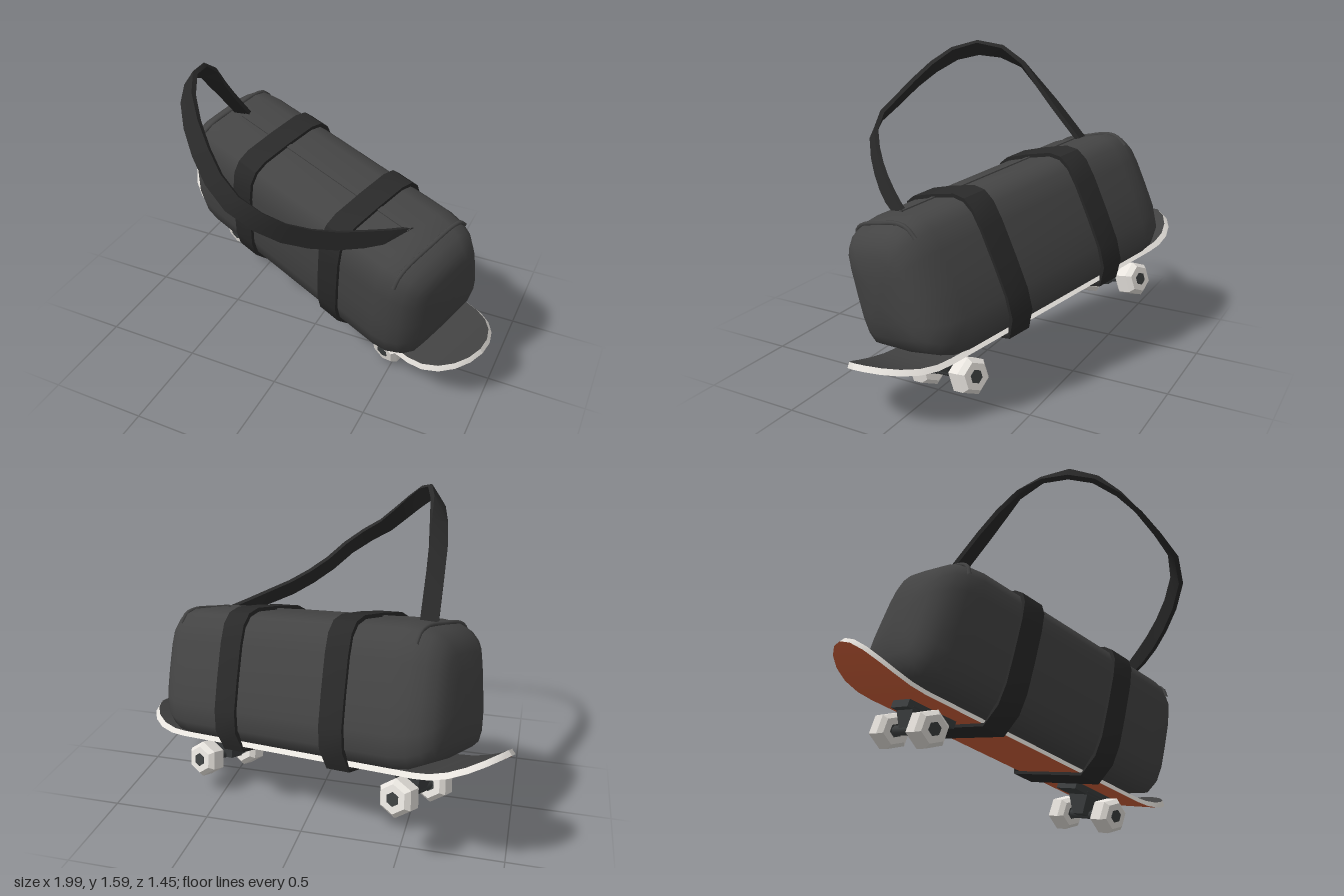
import * as THREE from 'three';
import { toCreasedNormals } from 'three/addons/utils/BufferGeometryUtils.js';

const V = (x, y, z) => new THREE.Vector3(x, y, z);
const mat = (name, color, side = THREE.FrontSide) => {
  const m = new THREE.MeshStandardMaterial({ color, side });
  m.name = name;
  return m;
};

// Skin a surface over a row of rings (arrays of Vector3)
function loft(rings, closed, crease = 0.6) {
  const n = rings[0].length, pos = [], idx = [];
  rings.forEach(r => r.forEach(p => pos.push(p.x, p.y, p.z)));
  for (let i = 0; i < rings.length - 1; i++) {
    for (let j = 0; j < (closed ? n : n - 1); j++) {
      const k = (j + 1) % n;
      const a = i * n + j, b = i * n + k, c = a + n, d = b + n;
      idx.push(a, b, c, b, d, c);
    }
  }
  const g = new THREE.BufferGeometry();
  g.setAttribute('position', new THREE.Float32BufferAttribute(pos, 3));
  g.setIndex(idx);
  g.computeVertexNormals();
  return toCreasedNormals(g, crease);
}

// Half section as [z, y] from top centre to bottom centre, mirrored to a full ring
const mirrorRing = half => [
  ...half, ...half.slice(1, -1).reverse().map(([z, y]) => [-z, y]),
];
const BAG_HALF = [[0, 0.94], [0.16, 0.936], [0.225, 0.912], [0.265, 0.86], [0.288, 0.77],
  [0.312, 0.6], [0.328, 0.45], [0.318, 0.35], [0.275, 0.29], [0, 0.276]];
const MID = 0.6;
const scaled = (half, s) => half.map(([z, y]) => [z * s, MID + (y - MID) * s]);
const at = (x, section) => section.map(([z, y]) => V(x, y, z));

export function createModel() {
  const model = new THREE.Group();
  model.name = 'bagOnSkateboard';
  const bagCloth = mat('bag cloth', 0x444444);
  const strapCloth = mat('strap webbing', 0x292929, THREE.DoubleSide);
  const grip = mat('grip tape', 0x414141);
  const pale = mat('pale wood and wheels', 0xf6f2ec);
  const rust = mat('rust underside', 0xd0603a);
  const metal = mat('truck metal', 0x3c3f40);

  // Tilted frame shared by the board and the bag
  const tilted = new THREE.Group();
  tilted.name = 'boardAndBag';
  const X = V(0.932, -0.149, 0.331).normalize();
  const Y = V(-0.359, -0.248, 0.9).cross(X).normalize();
  const Z = X.clone().cross(Y);
  tilted.setRotationFromMatrix(new THREE.Matrix4().makeBasis(X, Y, Z));
  tilted.position.set(-0.023, 0.093, -0.31);
  model.add(tilted);

  const add = (parent, name, geo, material, x = 0, y = 0, z = 0) => {
    const m = new THREE.Mesh(geo, material);
    m.name = name;
    m.position.set(x, y, z);
    parent.add(m);
    return m;
  };

  // Deck: rounded ends that kick up, with a bevelled pale rim
  const HALF = 1.055, START = 0.78;
  const xs = [0, 0.35, 0.7];
  for (let i = 0; i <= 5; i++) xs.push(START + (HALF - START) * Math.sin(i / 5 * Math.PI / 2));
  const stations = [...xs.slice(1).reverse().map(x => -x), ...xs];
  const deckPoint = (x, side, top) => {
    const t = Math.max(0, (Math.abs(x) - START) / (HALF - START));
    const w = 0.243 * Math.sqrt(Math.max(0, 1 - t * t));
    const kick = Math.max(0, Math.abs(x) - 0.7);
    const y = 0.253 + 0.9 * kick * kick;
    return top ? V(x * 0.985, y + 0.024, side * w * 0.94) : V(x, y, side * w);
  };
  const deckStrip = (name, a, b, material) => add(tilted, name,
    loft(stations.map(x => [deckPoint(x, ...a), deckPoint(x, ...b)]), false), material);
  deckStrip('deckTop', [-1, true], [1, true], grip);
  deckStrip('deckBottom', [1, false], [-1, false], rust);
  deckStrip('deckEdgeFront', [1, true], [1, false], pale);
  deckStrip('deckEdgeBack', [-1, false], [-1, true], pale);

  // Trucks and wheels
  const wheelProfile = [[0, -0.06], [0.07, -0.06], [0.093, -0.035], [0.093, 0.035],
    [0.07, 0.06], [0, 0.06]].map(([r, y]) => new THREE.Vector2(r, y));
  const wheelGeo = toCreasedNormals(new THREE.LatheGeometry(wheelProfile, 6).rotateX(Math.PI / 2), 0.6);
  const hubGeo = new THREE.CylinderGeometry(0.034, 0.034, 0.126, 6).rotateX(Math.PI / 2);
  const axleGeo = new THREE.CylinderGeometry(0.026, 0.026, 0.3, 8).rotateX(Math.PI / 2);
  for (const end of [-1, 1]) {
    const truck = new THREE.Group();
    truck.name = end > 0 ? 'leftTruck' : 'rightTruck';
    truck.position.x = end * 0.59;
    tilted.add(truck);
    add(truck, 'basePlate', new THREE.BoxGeometry(0.27, 0.04, 0.15), metal, -end * 0.05, 0.236, 0);
    const hanger = new THREE.CylinderGeometry(0.11, 0.055, 0.11, 4, 1).rotateY(Math.PI / 4);
    add(truck, 'hanger', toCreasedNormals(hanger, 0.3), metal, -end * 0.02, 0.175, 0);
    add(truck, 'axle', axleGeo, metal, 0, 0.137, 0);
    for (const side of [-1, 1]) {
      add(truck, 'wheel', wheelGeo, pale, 0, 0.137, side * 0.168);
      add(truck, 'wheelHub', hubGeo, metal, 0, 0.137, side * 0.168);
    }
  }

  // Bag body: one section, shrinking towards both ends
  const taper = [[0.61, 1], [0.69, 0.97], [0.75, 0.895], [0.795, 0.78], [0.822, 0.6],
    [0.834, 0.35], [0.838, 0]];
  const profile = [...taper.slice().reverse().map(([x, s]) => [-x, s]), ...taper];
  add(tilted, 'bagBody',
    loft(profile.map(([x, s]) => at(x, mirrorRing(scaled(BAG_HALF, s)))), true, 1.2), bagCloth);

  // Piping over each bag end and the zip flap along the top
  const upper = scaled(BAG_HALF.slice(0, 4), 0.962);
  const arc = [...upper.slice(1).reverse().map(([z, y]) => [-z, y]), ...upper];
  for (const end of [-1, 1]) {
    const path = new THREE.CatmullRomCurve3(at(end * 0.7, arc));
    add(tilted, 'endPiping', new THREE.TubeGeometry(path, 20, 0.011, 6), bagCloth);
  }
  add(tilted, 'zipFlap', new THREE.BoxGeometry(1.18, 0.014, 0.03), bagCloth, -0.015, 0.939, 0);

  // Two bands tying the bag to the deck
  const band = (s, base) => mirrorRing([
    ...scaled(BAG_HALF.slice(0, 8), s), [0.27, base], [0, base]]);
  const inner = band(0.99, 0.25), outer = band(1.055, 0.234);
  for (const x of [-0.318, 0.317]) {
    const a = x - 0.064, b = x + 0.064;
    add(tilted, 'tieBand',
      loft([at(a, inner), at(a, outer), at(b, outer), at(b, inner)], true, 0.5), strapCloth);
  }

  // Carrying strap: a flat band that twists along a loop
  const loop = new THREE.CatmullRomCurve3([
    V(-0.56, 1.06, -0.29), V(-0.55, 1.38, 0), V(-0.535, 1.475, 0.09), V(-0.505, 1.54, 0.23),
    V(-0.45, 1.535, 0.39), V(-0.34, 1.435, 0.54), V(-0.17, 1.27, 0.66), V(-0.05, 1.19, 0.695),
    V(0.04, 1.125, 0.67), V(0.15, 1.03, 0.58), V(0.31, 0.945, 0.42), V(0.44, 0.91, 0.28),
    V(0.575, 0.88, 0.12)], false, 'centripetal');
  const COUNT = 18, strapRings = [];
  for (let i = 0; i <= COUNT; i++) {
    const u = i / COUNT, p = loop.getPointAt(u), t = loop.getTangentAt(u);
    const turn = THREE.MathUtils.smoothstep(u, 0.08, 0.42);
    const w = V(1, 0.1, 0).lerp(V(0.2, 0.82, -0.53), turn);
    w.addScaledVector(t, -w.dot(t)).normalize();
    const m = t.clone().cross(w);
    const width = 0.043 - 0.015 * THREE.MathUtils.smoothstep(u, 0.85, 1);
    strapRings.push([[1, 1], [-1, 1], [-1, -1], [1, -1]].map(([a, b]) =>
      p.clone().addScaledVector(w, a * width).addScaledVector(m, b * 0.012)));
  }
  add(model, 'carryingStrap', loft(strapRings, true, 0.5), strapCloth);

  return model;
}
